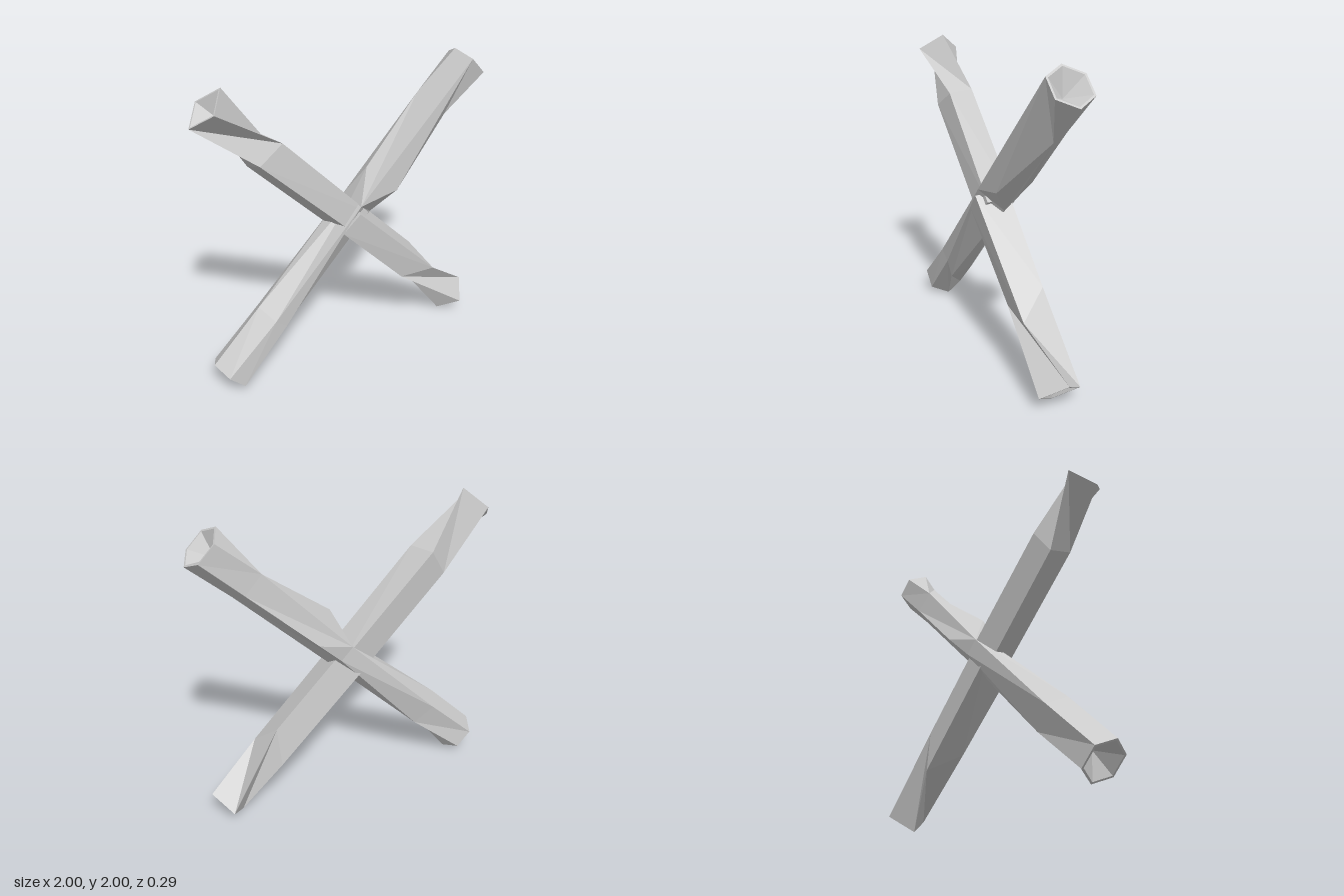
import * as THREE from 'three';

const END = 1.273, R = 0.141;

// Skin a row of equal-sized rings of [along, across, z] points, dropping collapsed triangles.
function skin(rings, closeLast) {
  const pos = [];
  const tri = (...pts) => {
    const [a, b, c] = pts.map((p) => new THREE.Vector3(...p));
    if (b.clone().sub(a).cross(c.clone().sub(a)).length() < 1e-7) return;
    for (const p of pts) pos.push(...p);
  };
  for (let i = 0; i < rings.length - 1; i++) {
    const n = rings[i].length;
    for (let j = 0; j < n; j++) {
      const k = (j + 1) % n;
      const a = rings[i][j], b = rings[i][k], c = rings[i + 1][k], d = rings[i + 1][j];
      tri(a, b, d);
      tri(b, c, d);
    }
  }
  if (closeLast) {
    const last = rings[rings.length - 1];
    for (let j = 1; j < last.length - 1; j++) tri(last[0], last[j], last[j + 1]);
  }
  const g = new THREE.BufferGeometry();
  g.setAttribute('position', new THREE.Float32BufferAttribute(pos, 3));
  g.computeVertexNormals();
  return g;
}

// Hollow end: pointed recess, inner lip and outer rim of a regular polygon
function cup(s, sides, firstCorner) {
  const depth = s - Math.sign(s) * 0.11;
  const rim = (r, at) => Array.from({ length: sides }, (_, j) => {
    const a = ((j + firstCorner) * 2 * Math.PI) / sides;
    return [at, r * Math.cos(a), r * Math.sin(a)];
  });
  return [rim(0, depth), rim(R * 0.9, s), rim(R, s)];
}

// Half of the square-ended bar: tilted square shaft that twists into a diamond end
function squareHalf(shoulder, frontZ) {
  return skin([
    ...cup(-END, 4, 1),
    [[-shoulder, 0.11, 0.085], [-0.84, -0.075, 0.11], [-shoulder, -0.12, -0.07], [-0.84, 0.08, -0.1]],
    [[0.04, 0.105, frontZ], [0.04, -0.06, frontZ + 0.015], [0.04, -0.115, -0.075], [0.04, 0.09, -0.108]],
  ], true);
}

// Hexagon-ended bar: straight whittled lower length, knotted and twisted upper length
function hexBar() {
  const knot = [0.1, 0.064, 0.118];
  const backKnot = [0.1, 0.064, -0.11];
  const notch = [0.12, -0.12, 0];
  const underside = [0.93, -0.125, 0];
  const topBack = [0.93, 0.09, -0.1];
  const upperEnd = cup(END, 6, 0).reverse();
  const frontCorner = upperEnd[0][1];
  return skin([
    ...cup(-END, 6, 0),
    [[-0.806, 0.14, 0], [-0.81, 0.05, 0.12], [-0.8, -0.05, 0.112],
      [-1.0, -0.106, 0.04], [-0.806, -0.113, -0.07], [-0.8, 0.06, -0.12]],
    [[0.1, 0.075, 0], knot, knot, notch, [0.1, -0.05, -0.11], backKnot],
    [[0.325, 0.156, 0.03], knot, [0.33, -0.09, 0.12], underside, [0.33, -0.05, -0.145], backKnot],
    [topBack, frontCorner, frontCorner, underside, [0.93, -0.065, -0.112], topBack],
    ...upperEnd,
  ], false);
}

export function createModel() {
  const model = new THREE.Group();
  model.name = 'crossedBars';
  const material = new THREE.MeshStandardMaterial({ color: 0xcccccc, flatShading: true });

  const add = (name, geometry, angle) => {
    const mesh = new THREE.Mesh(geometry, material);
    mesh.name = name;
    mesh.rotation.z = angle;
    mesh.position.y = 1;
    model.add(mesh);
  };

  add('squareBarUpperHalf', squareHalf(0.8, 0.085), -Math.PI / 4);
  add('squareBarLowerHalf', squareHalf(0.66, 0.115), Math.PI * 0.75);
  add('hexagonalBar', hexBar(), Math.PI / 4);
  return model;
}
